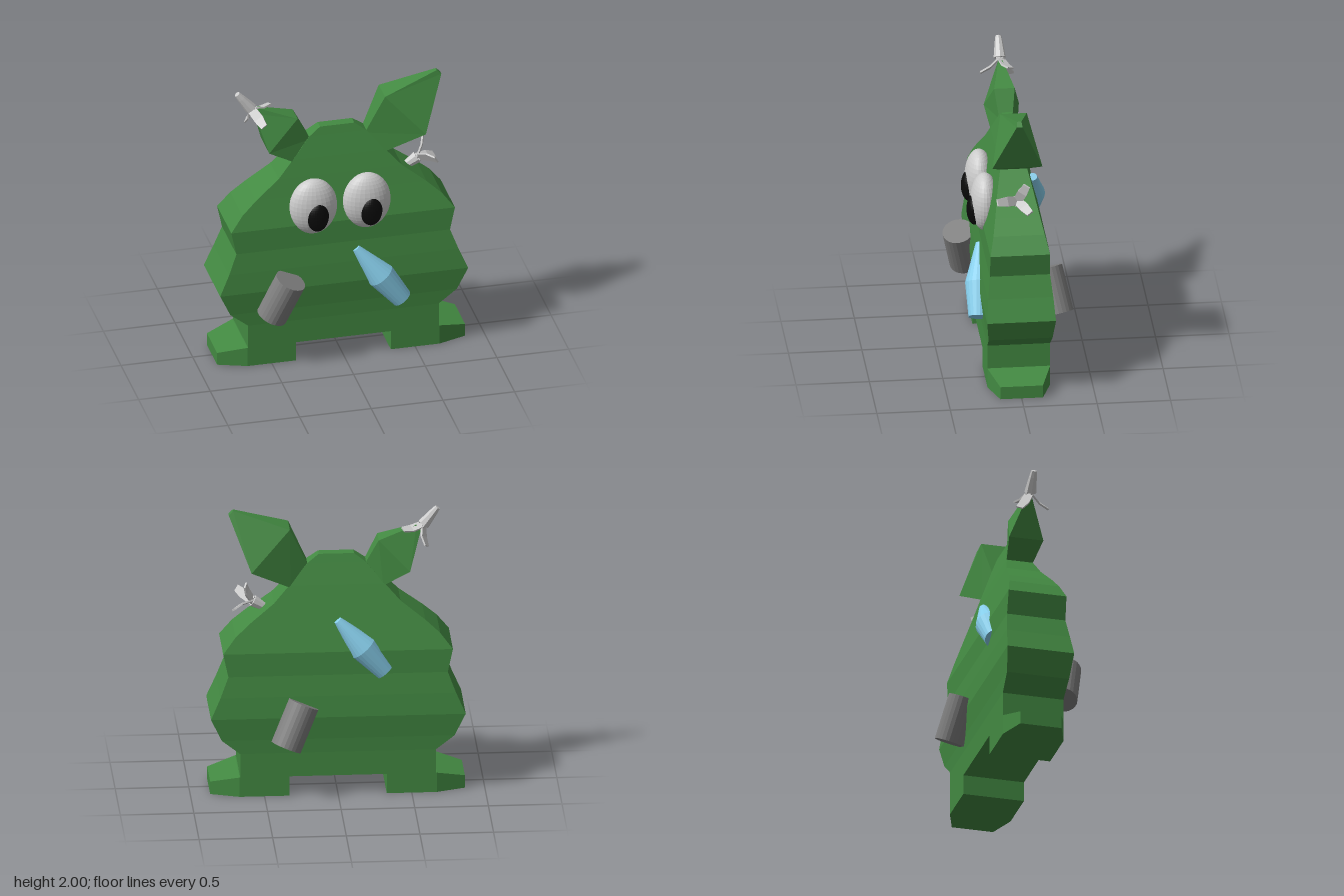
import * as THREE from 'three';

const paint = (color) => new THREE.MeshStandardMaterial({ color, flatShading: true });
const green = paint(0x438a42), grey = paint(0xcccccc), darkGrey = paint(0x808080);
const blue = paint(0x87ceeb), black = paint(0x0a0a0a);
const V = (x, y, z) => new THREE.Vector3(x, y, z);

// Closed solid through a list of four-cornered rings, turned so it faces outward
function loft(rings) {
  const tris = [];
  const quad = (a, b, c, d) => tris.push([a, b, c], [a, c, d]);
  for (let i = 0; i < rings.length - 1; i++) {
    for (let j = 0; j < 4; j++) {
      const k = (j + 1) % 4;
      quad(rings[i][j], rings[i][k], rings[i + 1][k], rings[i + 1][j]);
    }
  }
  quad(...[...rings[0]].reverse());
  quad(...rings[rings.length - 1]);
  let volume = 0;
  for (const [a, b, c] of tris) volume += a.dot(b.clone().cross(c));
  const points = tris.flatMap(([a, b, c]) => (volume < 0 ? [a, c, b] : [a, b, c]));
  const geometry = new THREE.BufferGeometry().setFromPoints(points);
  geometry.computeVertexNormals();
  return geometry;
}

// Ring spanned by two edge points, each given as [x, y, half depth]
const edgeRing = ([ax, ay, ad], [bx, by, bd]) =>
  [V(ax, ay, ad), V(bx, by, bd), V(bx, by, -bd), V(ax, ay, -ad)];

export function createModel() {
  const model = new THREE.Group();
  const add = (name, geometry, material, parent = model) => {
    const mesh = new THREE.Mesh(geometry, material);
    mesh.name = name;
    parent.add(mesh);
    return mesh;
  };

  // Round solid from a to b; profile rows are [radius, fraction along the axis]
  const turned = (name, a, b, profile, sides, material, parent) => {
    const axis = b.clone().sub(a), length = axis.length();
    const points = [[0, profile[0][1]], ...profile, [0, profile[profile.length - 1][1]]]
      .map(([r, t]) => new THREE.Vector2(r, t * length));
    const mesh = add(name, new THREE.LatheGeometry(points, sides), material, parent);
    mesh.position.copy(a);
    mesh.quaternion.setFromUnitVectors(V(0, 1, 0), axis.normalize());
  };

  // Body: rows of [half width, height, half depth]
  const body = [
    [0.665, 0.14, 0.213], [0.665, 0.31, 0.213], [0.79, 0.41, 0.218], [0.865, 0.57, 0.234],
    [0.80, 0.72, 0.222], [0.745, 0.866, 0.205], [0.78, 1.03, 0.203], [0.695, 1.14, 0.175],
    [0.595, 1.23, 0.152], [0.43, 1.36, 0.12], [0.325, 1.476, 0.09], [0.2, 1.62, 0.05],
    [0.12, 1.68, 0.034],
  ];
  add('body', loft(body.map(([w, y, d]) => edgeRing([-w, y, d], [w, y, d]))), green);

  // Feet with toes tapering outward
  for (const s of [-1, 1]) {
    const rows = [[0.33, 0.14, 0.213], [0.67, 0.14, 0.213], [0.865, 0.09, 0.145]];
    add(s > 0 ? 'leftFoot' : 'rightFoot',
      loft(rows.map(([x, h, d]) => edgeRing([s * x, 0, d], [s * x, h, d]))), green);
  }

  // Ears: the left one whole, the right one short
  add('leftEar', loft([
    edgeRing([0.19, 1.60, 0.045], [0.315, 1.46, 0.09]),
    edgeRing([0.32, 1.88, 0.09], [0.585, 1.60, 0.17]),
    edgeRing([0.70, 2.0, 0.015], [0.73, 1.97, 0.02]),
  ]), green);
  add('rightEar', loft([
    edgeRing([-0.19, 1.60, 0.045], [-0.315, 1.46, 0.09]),
    edgeRing([-0.285, 1.78, 0.07], [-0.495, 1.565, 0.12]),
    edgeRing([-0.545, 1.865, 0.015], [-0.575, 1.83, 0.02]),
  ]), green);

  // Eyes
  const ellipsoid = (name, x, y, z, rx, ry, rz, material) => {
    const mesh = add(name, new THREE.SphereGeometry(1, 28, 20), material);
    mesh.position.set(x, y, z);
    mesh.scale.set(rx, ry, rz);
  };
  for (const [side, x] of [['right', -0.203], ['left', 0.17]]) {
    ellipsoid(side + 'Eye', x, 1.157, 0.18, 0.165, 0.205, 0.1, grey);
    ellipsoid(side + 'Pupil', x + 0.014, 1.11, 0.25, 0.077, 0.112, 0.056, black);
  }

  // Cans stuck in front and back
  const can = [[0.107, 0], [0.107, 1]];
  turned('frontCan', V(-0.508, 0.385, 0.245), V(-0.39, 0.672, 0.305), can, 24, darkGrey);
  turned('backCan', V(0.36, 0.385, -0.30), V(0.235, 0.672, -0.235), can, 24, darkGrey);

  // Bottles, from base to neck
  const bottle = [[0.07, 0], [0.097, 0.46], [0.036, 0.94], [0.028, 1]];
  turned('frontBottle', V(0.40, 0.402, 0.245), V(0.088, 0.81, 0.205), bottle, 20, blue);
  turned('backBottle', V(-0.32, 0.87, -0.17), V(0, 1.245, -0.165), bottle, 20, blue);

  // Peeled skins: a stem splitting into three flat, tapering strips
  const peel = (name, root, split, tips) => {
    const group = new THREE.Group();
    group.name = name;
    model.add(group);
    turned('stem', root, split, [[0.02, 0], [0.028, 0.3], [0.042, 1]], 8, grey, group);
    const axis = split.clone().sub(root).normalize();
    for (const tip of tips) {
      const dir = tip.clone().sub(split).normalize();
      const across = dir.clone().cross(axis).normalize();
      const thick = across.clone().cross(dir).multiplyScalar(0.006);
      const bend = split.clone().lerp(tip, 0.5).addScaledVector(axis, 0.015);
      const rings = [[split, 0.03], [bend, 0.034], [tip, 0.024]].map(([p, w]) =>
        [[1, 1], [-1, 1], [-1, -1], [1, -1]].map(([i, j]) =>
          p.clone().addScaledVector(across, i * w).addScaledVector(thick, j)));
      add('strip', loft(rings), grey, group);
    }
  };
  peel('rightPeel', V(-0.69, 1.985, 0), V(-0.595, 1.865, 0),
    [V(-0.45, 1.85, -0.06), V(-0.535, 1.785, 0.14), V(-0.61, 1.735, -0.08)]);
  peel('leftPeel', V(0.45, 1.27, 0), V(0.565, 1.34, 0),
    [V(0.62, 1.475, -0.06), V(0.665, 1.38, 0.145), V(0.70, 1.305, -0.075)]);

  return model;
}
